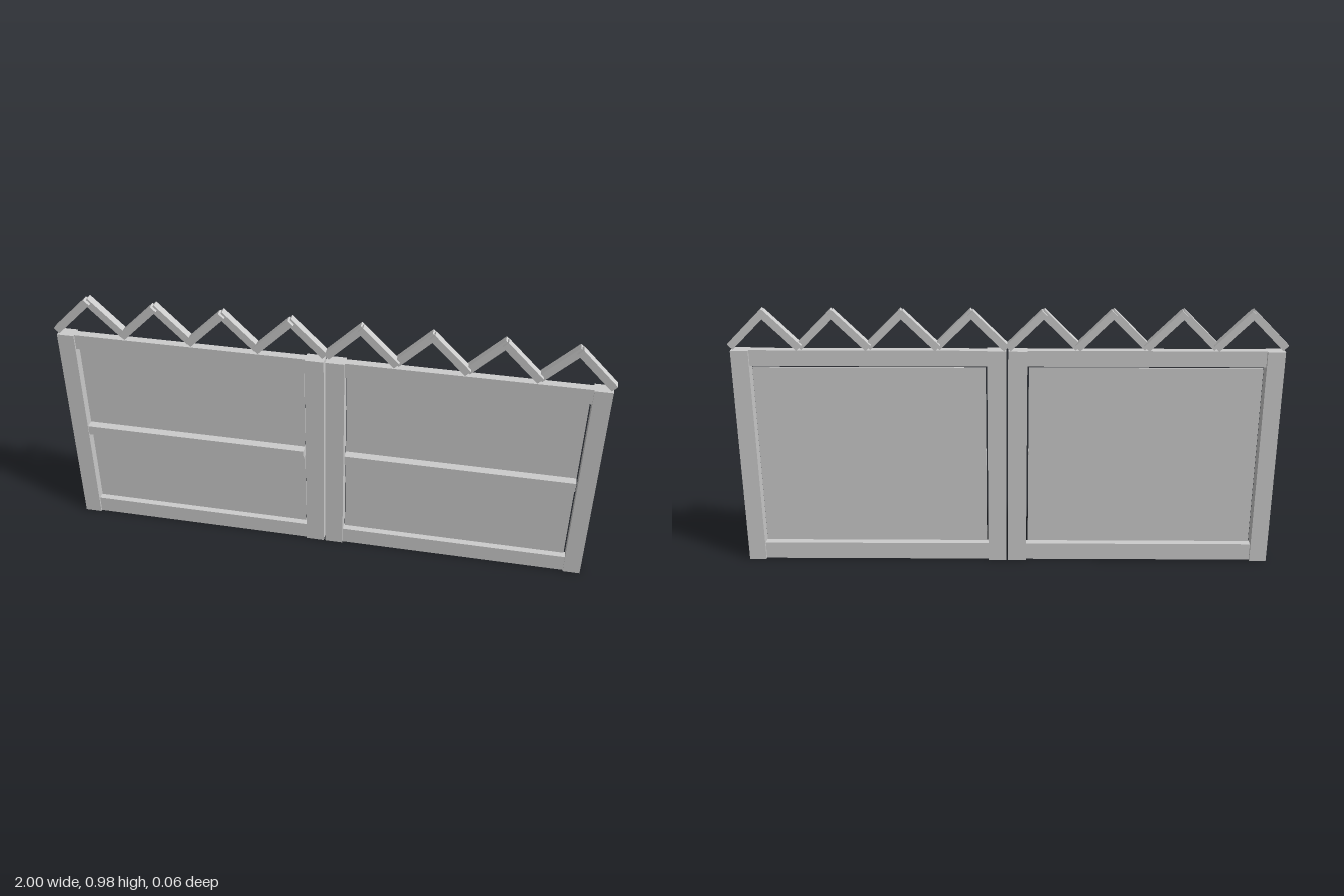
import * as THREE from 'three';

export function createModel() {
  const grey = new THREE.MeshStandardMaterial({ color: 0xcccccc });
  grey.name = 'light grey';

  // Box given by its lower and upper limits on each axis
  function block(parent, name, [x0, x1], [y0, y1], [z0, z1]) {
    const mesh = new THREE.Mesh(new THREE.BoxGeometry(x1 - x0, y1 - y0, z1 - z0), grey);
    mesh.position.set((x0 + x1) / 2, (y0 + y1) / 2, (z0 + z1) / 2);
    mesh.name = name;
    parent.add(mesh);
    return mesh;
  }

  const model = new THREE.Group();
  model.name = 'doubleGate';

  const stileZ = [-0.026, 0.021];
  const railZ = [-0.016, 0.014];
  const slatLength = 0.183, slatWidth = 0.027;

  for (const side of [-1, 1]) {
    const leaf = new THREE.Group();
    leaf.name = side < 0 ? 'rightLeaf' : 'leftLeaf';
    model.add(leaf);
    const span = (a, b) => (side < 0 ? [-b, -a] : [a, b]);

    // Frame
    block(leaf, 'innerStile', span(0.003, 0.071), [0, 0.834], stileZ);
    block(leaf, 'outerStile', span(0.925, 0.988), [0, 0.834], stileZ);
    block(leaf, 'bottomRail', span(0.071, 0.925), [0, 0.066], railZ);
    block(leaf, 'topRail', span(0.071, 0.925), [0.775, 0.834], railZ);

    // Thin infill panel with a narrow gap around it, and its cross batten
    block(leaf, 'panel', span(0.077, 0.918), [0.075, 0.767], [-0.006, 0]);
    block(leaf, 'batten', span(0.077, 0.918), [0.4, 0.438], [0, 0.032]);

    // Zigzag cresting: outer slats sit forward, inner slats behind
    for (let i = 0; i < 4; i++) {
      const peak = 0.865 - i * 0.246;
      for (const [name, offset, z] of [['frontSlat', 0.06, -0.001], ['backSlat', -0.06, -0.014]]) {
        const slat = new THREE.Mesh(new THREE.BoxGeometry(slatLength, slatWidth, 0.03), grey);
        slat.name = name;
        slat.position.set(side * (peak + offset), 0.91, z);
        slat.rotation.z = -side * Math.sign(offset) * Math.PI / 4;
        leaf.add(slat);
      }
    }
  }
  return model;
}
